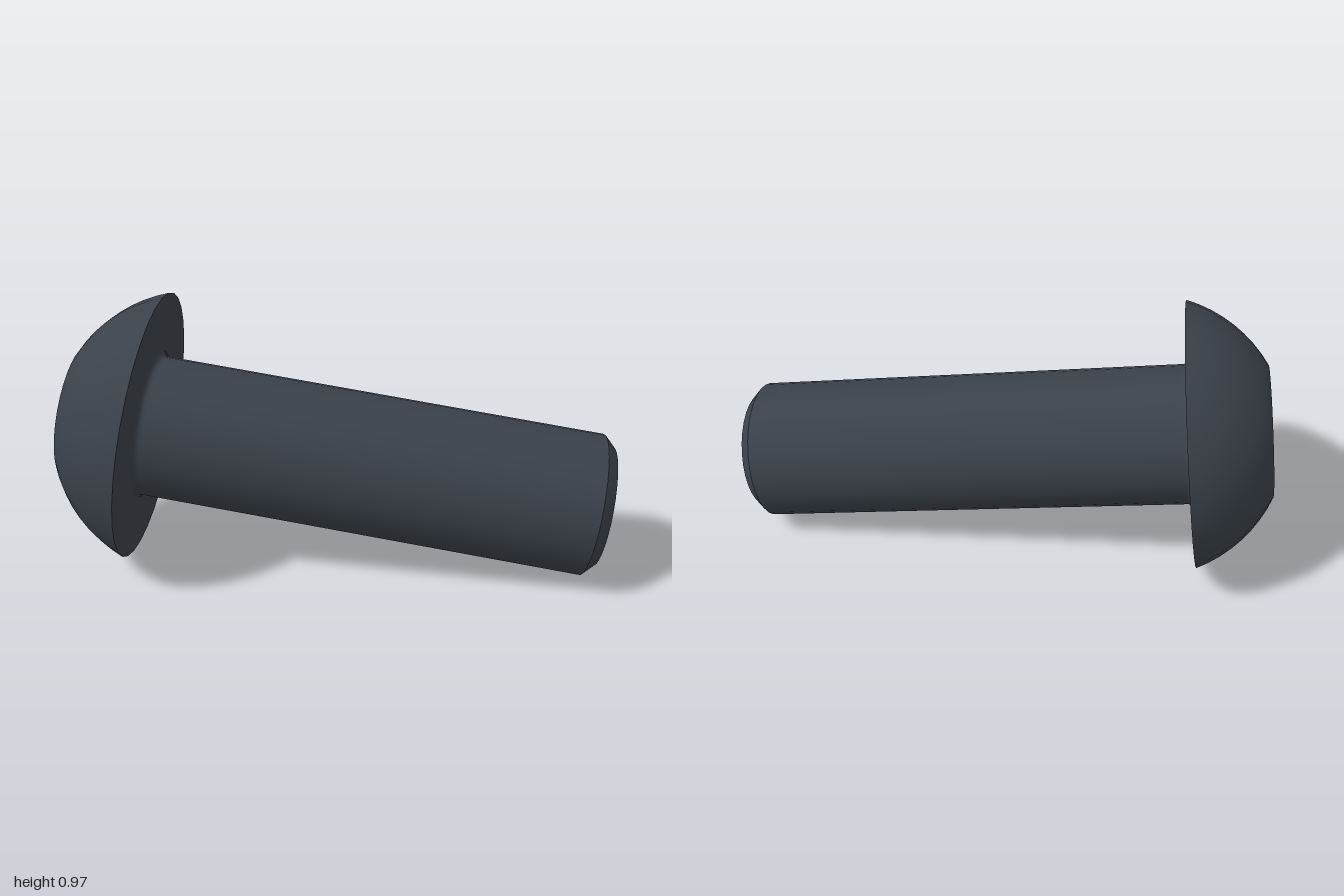
import * as THREE from 'three';
import { toCreasedNormals } from 'three/addons/utils/BufferGeometryUtils.js';

const SEGMENTS = 32;
const HEAD_R = 0.49, HEAD_H = 0.284, FACE_R = 0.24;
const SHAFT_R = 0.2575, TIP_R = 0.216, LENGTH = 1.664, CHAFF = 0.042, FILLET = 0.02;
const MOUTH_R = 0.181, HEX_R = 0.178, SOCKET_DEPTH = 0.165, HEX_TURN = THREE.MathUtils.degToRad(27);

// Hexagonal recess: circular mouth, scalloped countersink, flat walls and floor
function socketGeometry() {
  const n = 48, apothem = HEX_R * Math.cos(Math.PI / 6);
  const hexRadius = (a) => {
    const t = a % (Math.PI / 3);
    return apothem / Math.cos(t - Math.PI / 6);
  };
  const rings = [
    () => [MOUTH_R, HEAD_H],
    (a) => [hexRadius(a), HEAD_H - (MOUTH_R - hexRadius(a)) * 0.6],
    (a) => [hexRadius(a), HEAD_H - SOCKET_DEPTH],
    () => [0, HEAD_H - SOCKET_DEPTH],
  ];
  const positions = [], index = [];
  rings.forEach((ring, k) => {
    for (let j = 0; j < n; j++) {
      const a = (j / n) * Math.PI * 2;
      const [r, y] = ring(a);
      positions.push(r * Math.cos(a + HEX_TURN), y, r * Math.sin(a + HEX_TURN));
      if (k === rings.length - 1) continue;
      const j2 = (j + 1) % n;
      const p = k * n + j, q = k * n + j2, s = p + n, t = q + n;
      index.push(p, s, q);
      if (k < rings.length - 2) index.push(q, s, t);
    }
  });
  const geometry = new THREE.BufferGeometry();
  geometry.setAttribute('position', new THREE.Float32BufferAttribute(positions, 3));
  geometry.setIndex(index);
  return toCreasedNormals(geometry, 0.4);
}

export function createModel() {
  const steel = new THREE.MeshStandardMaterial({ color: 0x3a4149 });
  steel.name = 'blackened steel';

  const bolt = new THREE.Group();
  bolt.name = 'bolt';
  const add = (name, geometry) => {
    const mesh = new THREE.Mesh(geometry, steel);
    mesh.name = name;
    bolt.add(mesh);
  };
  const lathe = (name, points) =>
    add(name, new THREE.LatheGeometry(points.map(([r, y]) => new THREE.Vector2(r, y)), SEGMENTS));

  // Shaft with chamfered tip; separate pieces keep the edges crisp
  lathe('tipFace', [[0, -LENGTH], [TIP_R, -LENGTH]]);
  lathe('tipChamfer', [[TIP_R, -LENGTH], [SHAFT_R, -LENGTH + CHAFF]]);
  const shaft = [[SHAFT_R, -LENGTH + CHAFF], [SHAFT_R, -FILLET * 1.5]];
  for (let i = 0; i <= 4; i++) {
    const a = (i / 4) * Math.PI / 2;
    shaft.push([SHAFT_R + FILLET * (1 - Math.cos(a)), -FILLET * (1 - Math.sin(a))]);
  }
  lathe('shaft', shaft);

  // Button head: flat underside, spherical dome, small flat face around the socket
  lathe('headUnderside', [[SHAFT_R + FILLET, 0], [HEAD_R, 0]]);
  const centreY = (FACE_R ** 2 + HEAD_H ** 2 - HEAD_R ** 2) / (2 * HEAD_H);
  const domeR = Math.hypot(HEAD_R, centreY);
  const a0 = Math.asin(HEAD_R / domeR), a1 = Math.asin(FACE_R / domeR);
  const dome = [];
  for (let i = 0; i <= 8; i++) {
    const a = THREE.MathUtils.lerp(a0, a1, i / 8);
    dome.push([domeR * Math.sin(a), centreY + domeR * Math.cos(a)]);
  }
  dome.push([MOUTH_R - 0.001, HEAD_H]);
  lathe('headDome', dome);
  add('hexSocket', socketGeometry());

  // Tilt the bolt: local +y is the direction the head faces
  const up = new THREE.Vector3(-0.968, 0.14, -0.207).normalize();
  const side = new THREE.Vector3(0, 0, 1).addScaledVector(up, -up.z).normalize();
  const third = new THREE.Vector3().crossVectors(side, up);
  bolt.quaternion.setFromRotationMatrix(new THREE.Matrix4().makeBasis(side, up, third));
  bolt.position.set(-0.665, 0.488, -0.052);

  const model = new THREE.Group();
  model.name = 'buttonHeadBolt';
  model.add(bolt);
  return model;
}
